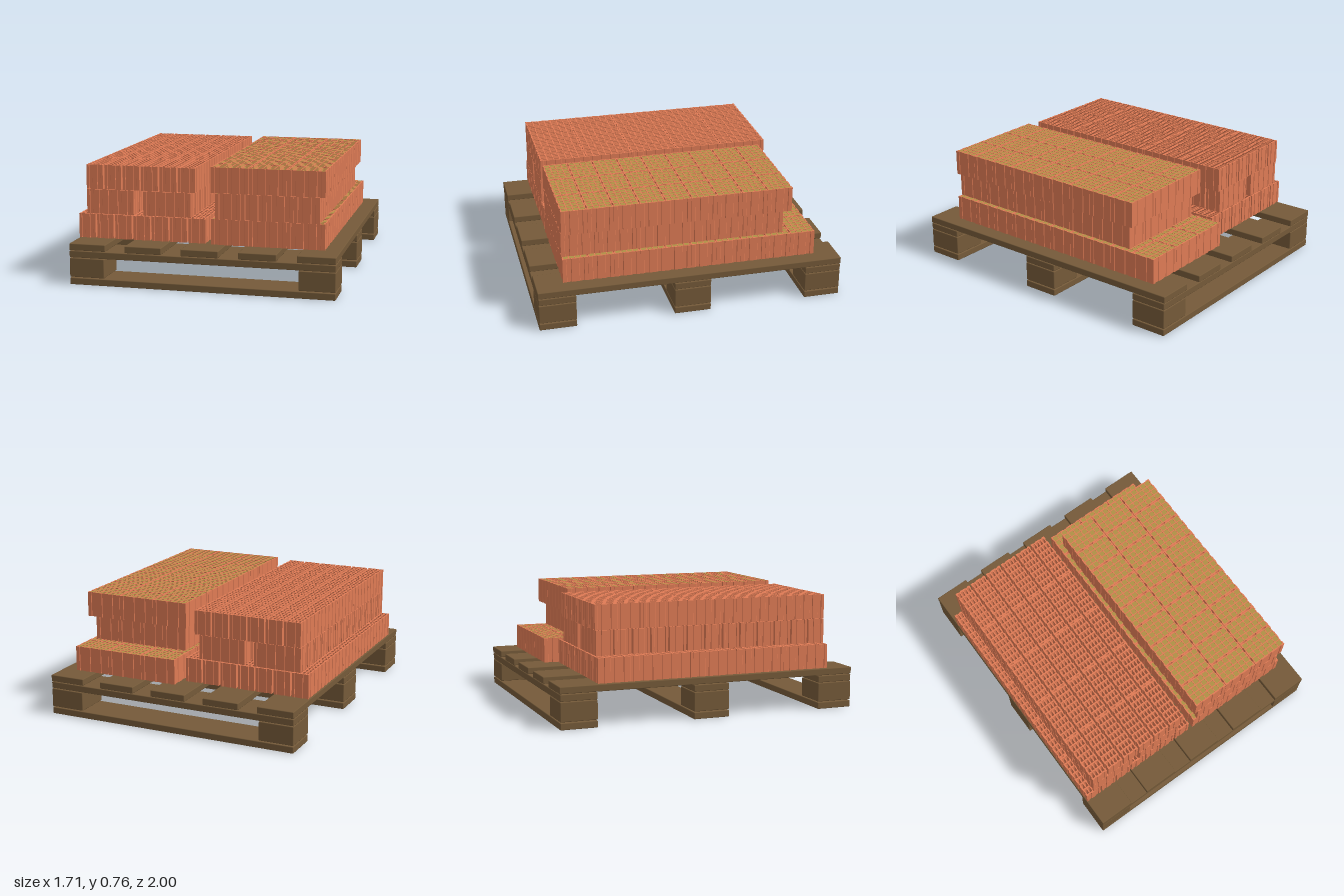
import * as THREE from 'three';
import { RoundedBoxGeometry } from 'three/addons/geometries/RoundedBoxGeometry.js';

const wood = new THREE.MeshStandardMaterial({ color: 0x755a39 });
const clay = new THREE.MeshStandardMaterial({ color: 0xdf7b55 });
const wool = new THREE.MeshStandardMaterial({ color: 0xb09045 });

// Rectangle outline with shallow square grooves along every side
function groovedOutline(w, d, nw, nd, depth) {
  const c = [[-w / 2, -d / 2], [w / 2, -d / 2], [w / 2, d / 2], [-w / 2, d / 2]];
  const pts = [];
  c.forEach((a, s) => {
    const b = c[(s + 1) % 4];
    const n = s % 2 ? nd : nw;
    const len = Math.hypot(b[0] - a[0], b[1] - a[1]);
    const ux = (b[0] - a[0]) / len, uy = (b[1] - a[1]) / len;
    const add = (t, k) => pts.push(new THREE.Vector2(a[0] + ux * t * len - uy * k, a[1] + uy * t * len + ux * k));
    add(0, 0);
    for (let i = 0; i < n; i++) {
      add((i + 0.3) / n, 0);
      add((i + 0.34) / n, depth);
      add((i + 0.66) / n, depth);
      add((i + 0.7) / n, 0);
    }
  });
  return new THREE.Shape(pts);
}

// Hollow clay brick standing on y = 0, with a grid of vertical cells
function brickGeometry({ w, d, h, cols, rows, wall, rim, nw, nd, groove }) {
  const shape = groovedOutline(w, d, nw, nd, groove);
  const cw = (w - 2 * rim + wall) / cols, cd = (d - 2 * rim + wall) / rows;
  for (let i = 0; i < cols; i++) {
    for (let j = 0; j < rows; j++) {
      const x0 = -w / 2 + rim + i * cw, y0 = -d / 2 + rim + j * cd;
      const x1 = x0 + cw - wall, y1 = y0 + cd - wall;
      shape.holes.push(new THREE.Path([
        new THREE.Vector2(x0, y0), new THREE.Vector2(x0, y1),
        new THREE.Vector2(x1, y1), new THREE.Vector2(x1, y0),
      ]));
    }
  }
  return new THREE.ExtrudeGeometry(shape, { depth: h, bevelEnabled: false }).rotateX(-Math.PI / 2);
}

function board(parent, name, w, h, d, x, y, z) {
  const mesh = new THREE.Mesh(new RoundedBoxGeometry(w, h, d, 1, 0.005), wood);
  mesh.name = name;
  mesh.position.set(x, y, z);
  parent.add(mesh);
}

// One layer of bricks in a regular grid, starting at the first brick's centre
function layer(parent, name, makeBrick, nx, nz, x0, z0, px, pz, y, turned) {
  const group = new THREE.Group();
  group.name = name;
  for (let i = 0; i < nx; i++) {
    for (let j = 0; j < nz; j++) {
      const brick = makeBrick();
      brick.position.set(x0 + i * px, y, z0 - j * pz);
      if (turned) brick.rotation.y = Math.PI / 2;
      group.add(brick);
    }
  }
  parent.add(group);
}

function createPallet() {
  const pallet = new THREE.Group();
  pallet.name = 'pallet';
  for (const z of [-0.877, 0, 0.877]) {
    board(pallet, 'bottomRunner', 1.71, 0.044, 0.24, 0, 0.024, z);
    for (const s of [-1, 1]) board(pallet, 'spacerBlock', 0.23, 0.124, 0.24, s * 0.74, 0.113, z);
    board(pallet, 'crossBoard', 1.71, 0.044, 0.24, 0, 0.2, z);
  }
  for (let i = -2; i <= 2; i++) board(pallet, 'deckBoard', 0.24, 0.044, 2, i * 0.3675, 0.247, 0);
  return pallet;
}

export function createModel() {
  const model = new THREE.Group();
  model.name = 'brickPallet';
  model.add(createPallet());

  // Narrow open-celled bricks
  const narrowGeo = brickGeometry({
    w: 0.11, d: 0.314, h: 0.157, cols: 4, rows: 7, wall: 0.008, rim: 0.011, nw: 2, nd: 5, groove: 0.004,
  });
  const narrow = () => {
    const mesh = new THREE.Mesh(narrowGeo, clay);
    mesh.name = 'hollowBrick';
    return mesh;
  };
  const narrowStack = new THREE.Group();
  narrowStack.name = 'narrowBrickStack';
  layer(narrowStack, 'bottomLayer', narrow, 7, 5, -0.796, 0.663, 0.1222, 0.315, 0.273, false);
  layer(narrowStack, 'middleLayer', narrow, 2, 13, -0.638, 0.765, 0.378, 0.1215, 0.434, true);
  layer(narrowStack, 'topLayer', narrow, 6, 5, -0.74, 0.663, 0.1222, 0.315, 0.594, false);
  model.add(narrowStack);

  // Wide bricks with insulation-filled cells
  const wideGeo = brickGeometry({
    w: 0.241, d: 0.165, h: 0.164, cols: 6, rows: 4, wall: 0.006, rim: 0.009, nw: 3, nd: 2, groove: 0.004,
  });
  const fillGeo = new THREE.BoxGeometry(0.226, 0.16, 0.15).translate(0, 0.082, 0);
  const wide = () => {
    const brick = new THREE.Group();
    brick.name = 'filledBrick';
    const shell = new THREE.Mesh(wideGeo, clay);
    shell.name = 'brickShell';
    const fill = new THREE.Mesh(fillGeo, wool);
    fill.name = 'insulationFill';
    brick.add(shell, fill);
    return brick;
  };
  const wideStack = new THREE.Group();
  wideStack.name = 'wideBrickStack';
  layer(wideStack, 'bottomLayer', wide, 3, 10, 0.149, 0.74, 0.2435, 0.1668, 0.27, false);
  layer(wideStack, 'middleLayer', wide, 4, 6, 0.138, 0.703, 0.1675, 0.243, 0.435, true);
  layer(wideStack, 'topLayer', wide, 3, 9, 0.149, 0.74, 0.2435, 0.1668, 0.6, false);
  model.add(wideStack);

  return model;
}
